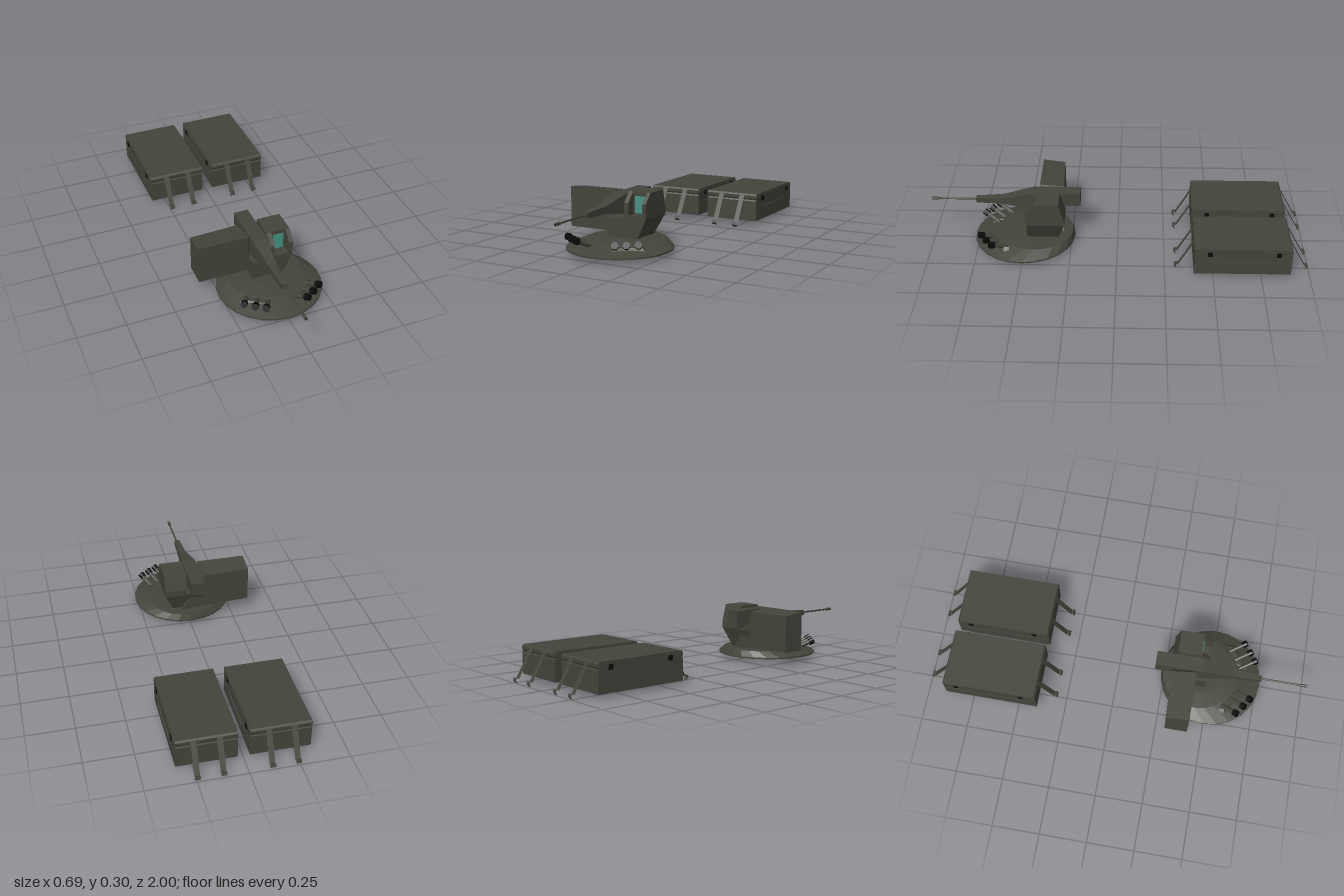
import * as THREE from 'three';
import { ConvexGeometry } from 'three/addons/geometries/ConvexGeometry.js';

const mat = (name, color, extra = {}) => {
  const m = new THREE.MeshStandardMaterial({ color, flatShading: true, ...extra });
  m.name = name;
  return m;
};

export function createModel() {
  const root = new THREE.Group();
  root.name = 'turretAndCrates';
  const olive = mat('olive drab', 0x44443b);
  const oliveThin = mat('olive drab sheet', 0x44443b, { side: THREE.DoubleSide });
  const black = mat('black', 0x0a0a0a);
  const teal = mat('teal glass', 0x489182);

  const add = (parent, name, geo, m = olive) => {
    const mesh = new THREE.Mesh(geo, m);
    mesh.name = name;
    parent.add(mesh);
    return mesh;
  };
  // Box given by its limits
  const box = (parent, name, [x0, x1], [y0, y1], [z0, z1], m) => add(parent, name,
    new THREE.BoxGeometry(x1 - x0, y1 - y0, z1 - z0)
      .translate((x0 + x1) / 2, (y0 + y1) / 2, (z0 + z1) / 2), m);
  const hull = (parent, name, pts, m) =>
    add(parent, name, new ConvexGeometry(pts.map(p => new THREE.Vector3(...p))), m);
  // Side profile in (z, y), extruded across x
  const across = (parent, name, profile, x0, x1, m) => {
    const shape = new THREE.Shape(profile.map(p => new THREE.Vector2(...p)));
    const geo = new THREE.ExtrudeGeometry(shape, { depth: x1 - x0, bevelEnabled: false });
    return add(parent, name, geo.rotateY(-Math.PI / 2).translate(x1, 0, 0), m);
  };
  // Cylinder between two points
  const rod = (parent, name, a, b, r, m, sides = 10) => {
    const A = new THREE.Vector3(...a), B = new THREE.Vector3(...b);
    const dir = B.clone().sub(A);
    const mesh = add(parent, name, new THREE.CylinderGeometry(r, r, dir.length(), sides), m);
    mesh.position.copy(A).add(B).multiplyScalar(0.5);
    mesh.quaternion.setFromUnitVectors(new THREE.Vector3(0, 1, 0), dir.normalize());
    return mesh;
  };
  // Thin strip of width w following (z, y) points
  const ribbon = (parent, name, pts, x, w) => {
    const geo = new THREE.PlaneGeometry(w, 1, 1, pts.length - 1);
    const pos = geo.attributes.position;
    for (let i = 0; i < pos.count; i++) {
      const [z, y] = pts[Math.floor(i / 2)];
      pos.setXYZ(i, x + pos.getX(i), y, z);
    }
    geo.computeVertexNormals();
    return add(parent, name, geo, oliveThin);
  };

  // ---- Storage crates ----
  const halfCrate = [[0.25, 0.022], [0.25, 0.133], [0.246, 0.14], [0.25, 0.148], [0.25, 0.164], [0.243, 0.173]];
  const mid = -0.65;
  const crateProfile = [
    ...halfCrate.map(([z, y]) => [mid + z, y]),
    ...[...halfCrate].reverse().map(([z, y]) => [mid - z, y]),
  ];
  const halfStrap = [[0.25, 0.166], [0.33, 0.022], [0.345, 0.026], [0.35, 0.012], [0.338, 0]];
  for (const [x0, x1, name] of [[-0.33, -0.028, 'rightCrate'], [0.032, 0.334, 'leftCrate']]) {
    const crate = new THREE.Group();
    crate.name = name;
    root.add(crate);
    across(crate, 'crateBody', crateProfile, x0, x1);
    for (const s of [-1, 1]) {
      const face = s < 0 ? x0 : x1;
      const span = d => (s < 0 ? [face - d, face + 0.002] : [face - 0.002, face + d]);
      box(crate, 'sideRail', span(0.003), [0.072, 0.1], [-0.89, -0.41]);
      box(crate, 'lidLip', span(0.003), [0.148, 0.164], [-0.895, -0.405]);
      if (s > 0) box(crate, 'carryHandle', span(0.008), [0.076, 0.096], [-0.77, -0.53]);
      for (const z of [-0.83, -0.48]) {
        box(crate, 'latch', span(0.006), [0.132, 0.158], [z - 0.012, z + 0.012], black);
      }
      for (const sx of [x0 + 0.089, x0 + 0.215]) {
        ribbon(crate, 'strap', halfStrap.map(([z, y]) => [mid + s * z, y]), sx, 0.028);
      }
    }
  }

  // ---- Turret ring: open cone whose top leans to the rear ----
  const turret = new THREE.Group();
  turret.name = 'turret';
  root.add(turret);
  const ring = new THREE.LatheGeometry(
    [[0.27, 0.022], [0.27, 0.03], [0.2, 0.061], [0.11, 0.068], [0, 0.068]].map(p => new THREE.Vector2(...p)), 24);
  const rp = ring.attributes.position;
  for (let i = 0; i < rp.count; i++) {
    const lean = THREE.MathUtils.clamp((rp.getY(i) - 0.03) / 0.03, 0, 1);
    rp.setZ(i, rp.getZ(i) + 0.5 - 0.06 * lean);
  }
  ring.computeVertexNormals();
  add(turret, 'turretRing', ring, oliveThin);

  // ---- Lower housing and side pod ----
  hull(turret, 'lowerHousing', [
    [-0.08, 0.062, 0.48], [0.085, 0.062, 0.48], [0.135, 0.17, 0.48], [-0.08, 0.165, 0.48],
    [-0.08, 0.062, 0.315], [0.085, 0.062, 0.315], [0.135, 0.17, 0.28], [-0.08, 0.17, 0.28],
  ]);
  hull(turret, 'sidePod', [
    [-0.345, 0.08, 0.42], [-0.08, 0.08, 0.42], [-0.08, 0.29, 0.42], [-0.345, 0.29, 0.42],
    [-0.345, 0.08, 0.3], [-0.345, 0.275, 0.3], [-0.09, 0.275, 0.29], [0.04, 0.065, 0.29],
  ]);
  box(turret, 'podLedge', [-0.08, -0.027], [0.16, 0.173], [0.3, 0.42]);

  // ---- Sight tower with a recessed window ----
  const back = [[0.28, 0.168], [0.28, 0.2], [0.307, 0.296]];
  const cheek = [...back, [0.432, 0.296], [0.48, 0.245], [0.48, 0.168]].reverse();
  across(turret, 'towerCheek', cheek, 0.012, 0.036);
  across(turret, 'towerCheek', cheek, 0.114, 0.135);
  across(turret, 'towerCore', [...back, [0.432, 0.296], [0.432, 0.168]].reverse(), 0.036, 0.114);
  box(turret, 'windowSill', [0.036, 0.114], [0.168, 0.181], [0.43, 0.479]);
  box(turret, 'windowGlass', [0.048, 0.102], [0.188, 0.275], [0.43, 0.436], teal);

  // ---- Gun: square sections joined in pairs ----
  const gun = new THREE.Group();
  gun.name = 'gun';
  gun.position.x = -0.033;
  turret.add(gun);
  // Each section: z, half width, bottom, top
  const sections = [
    [0.2, 0.038, 0.212, 0.284], [0.31, 0.038, 0.212, 0.284], [0.35, 0.038, 0.184, 0.284],
    [0.45, 0.038, 0.184, 0.284], [0.61, 0.021, 0.208, 0.246], [0.76, 0.014, 0.211, 0.238],
  ];
  const corners = ([z, w, b, t]) => [[-w, b, z], [w, b, z], [w, t, z], [-w, t, z]];
  for (let i = 0; i < sections.length - 1; i++) {
    hull(gun, 'gunHousing', [...corners(sections[i]), ...corners(sections[i + 1])]);
  }
  rod(gun, 'barrel', [0, 0.226, 0.74], [0, 0.226, 0.98], 0.005, olive, 8);
  rod(gun, 'muzzle', [0, 0.226, 0.965], [0, 0.226, 1], 0.008, olive, 8);
  rod(gun, 'bore', [0, 0.226, 0.99], [0, 0.226, 1.0005], 0.004, black, 8);
  rod(gun, 'trunnion', [-0.05, 0.228, 0.39], [0.05, 0.228, 0.39], 0.009, black, 10);

  // ---- Smoke launchers: three tubes on each side ----
  for (const s of [-1, 1]) {
    const bank = new THREE.Group();
    bank.name = s < 0 ? 'rightLaunchers' : 'leftLaunchers';
    turret.add(bank);
    hull(bank, 'launcherMount', [
      [s * 0.065, 0.045, 0.69], [s * 0.2, 0.045, 0.6], [s * 0.2, 0.045, 0.57], [s * 0.065, 0.045, 0.63],
      [s * 0.085, 0.061, 0.67], [s * 0.18, 0.061, 0.6], [s * 0.18, 0.061, 0.57], [s * 0.085, 0.061, 0.63],
    ]);
    for (const [x, z] of [[0.205, 0.67], [0.16, 0.705], [0.115, 0.735]]) {
      const tip = new THREE.Vector3(s * x, 0.091, z);
      const root3 = new THREE.Vector3(s * (x - 0.048), 0.052, z - 0.085);
      const neck = root3.clone().lerp(tip, 0.75);
      rod(bank, 'launcherTube', root3.toArray(), neck.toArray(), 0.012);
      rod(bank, 'launcherCap', neck.toArray(), tip.toArray(), 0.018, black);
    }
  }
  return root;
}
